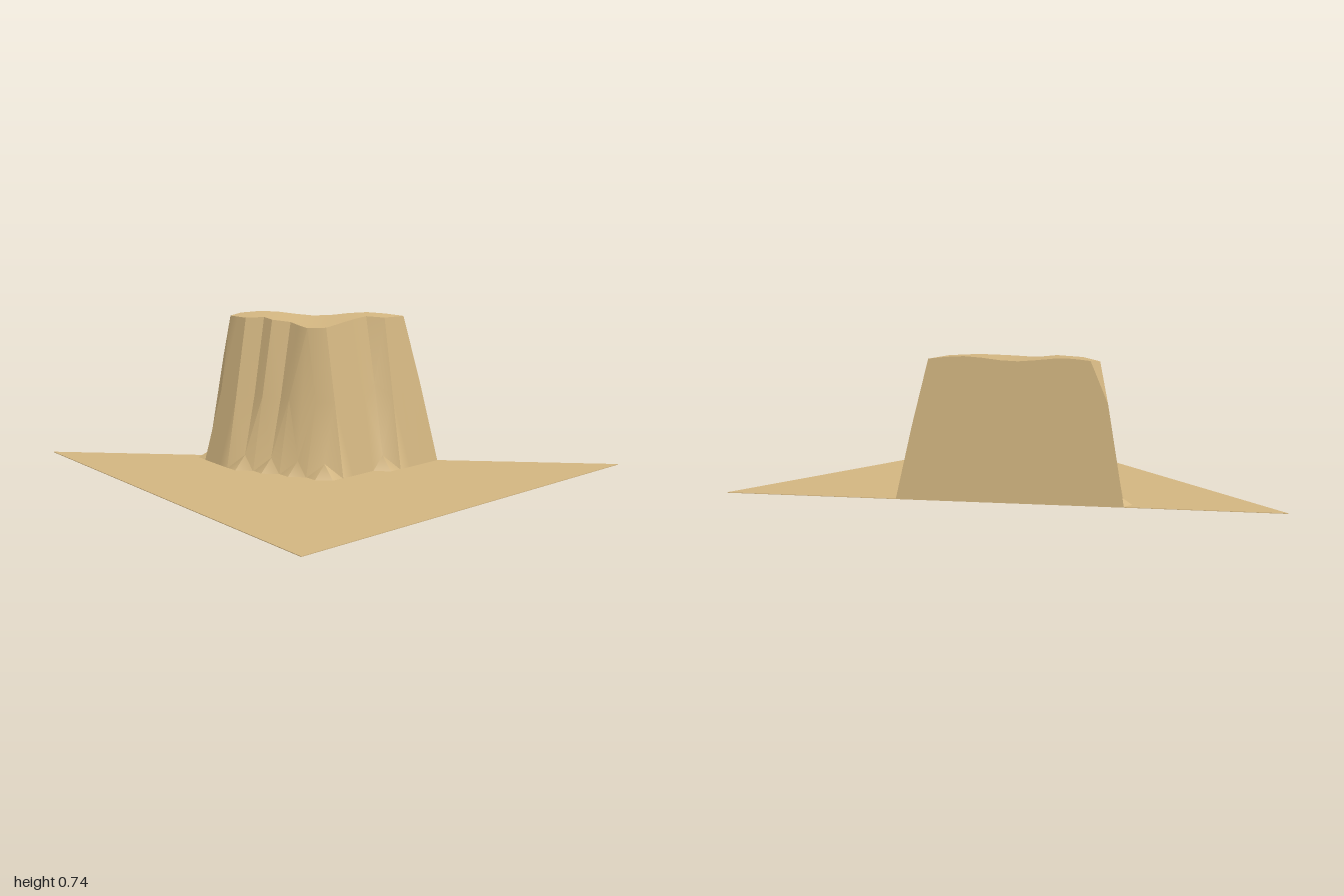
import * as THREE from 'three';
import { toCreasedNormals } from 'three/addons/utils/BufferGeometryUtils.js';

const CELL = 1 / 16;

// Slope rows, z index: [first x index, heights up the slope]; the plateau fills the rest
const SLOPE = {
  '-6': [-7, [0.06, 0.52]],
  '-5': [-7, [0.36]],
  '-4': [-7, [0.36]],
  '-3': [-7, [0.36]],
  '-2': [-7, [0.07, 0.36]],
  '-1': [-6, [0.36]],
  '0': [-6, [0.07, 0.36]],
  '1': [-5, [0.36]],
  '2': [-5, [0.07]],
  '3': [-4, [0.36]],
  '4': [-4, [0.07, 0.36, 0.36, 0.36, 0.36, 0.42]],
  '5': [1, [0.07, 0.36, 0.36, 0.36, 0.38]],
};

// Gently rolling plateau, dipping away from the cut
function plateau(x, z) {
  const along = (x + z) / 2;
  return 0.73 - 0.01 * Math.cos((2 * Math.PI * (along + 0.05)) / 0.35) - 0.05 * (z - x);
}

function height(i, j) {
  const row = SLOPE[j];
  if (!row || i < row[0]) return 0;
  const step = i - row[0];
  return step < row[1].length ? row[1][step] : plateau(i * CELL, j * CELL);
}

const point = (i, j) => [i * CELL, height(i, j), j * CELL];
const foot = (i) => [i * CELL, 0, i * CELL];

function meshFrom(name, triangles, material, crease) {
  const geometry = new THREE.BufferGeometry();
  geometry.setAttribute('position', new THREE.Float32BufferAttribute(triangles.flat(2), 3));
  geometry.computeVertexNormals();
  const mesh = new THREE.Mesh(crease ? toCreasedNormals(geometry, crease) : geometry, material);
  mesh.name = name;
  return mesh;
}

export function createModel() {
  const group = new THREE.Group();
  group.name = 'mesaTerrain';
  const sand = new THREE.MeshStandardMaterial({ color: 0xd2b580 });
  sand.name = 'sand';

  // Thin triangular ground
  const outline = new THREE.Shape([
    new THREE.Vector2(-1, 1),
    new THREE.Vector2(-1, -1),
    new THREE.Vector2(1, -1),
  ]);
  const slab = new THREE.ExtrudeGeometry(outline, { depth: 0.003, bevelEnabled: false });
  slab.rotateX(-Math.PI / 2);
  const ground = new THREE.Mesh(slab, sand);
  ground.name = 'ground';
  group.add(ground);

  // Mesa slopes and plateau on a square grid, cut along the diagonal
  const surface = [];
  const addRaised = (...corners) => {
    if (corners.some((p) => p[1] > 0)) surface.push(corners);
  };
  for (let j = -8; j < 7; j++) {
    for (let i = -9; i <= j; i++) {
      const a = point(i, j);
      const c = point(i + 1, j + 1);
      addRaised(a, point(i, j + 1), c);
      if (i < j) addRaised(a, c, point(i + 1, j));
    }
  }
  group.add(meshFrom('mesa', surface, sand, 0.6));

  // Flat vertical cliff along the cut
  const cliff = [];
  for (let i = -7; i < 6; i++) {
    const top0 = point(i, i);
    const top1 = point(i + 1, i + 1);
    if (top0[1] > 0) cliff.push([foot(i), top0, top1]);
    if (top1[1] > 0) cliff.push([foot(i), top1, foot(i + 1)]);
  }
  group.add(meshFrom('cliffCut', cliff, sand));

  return group;
}
